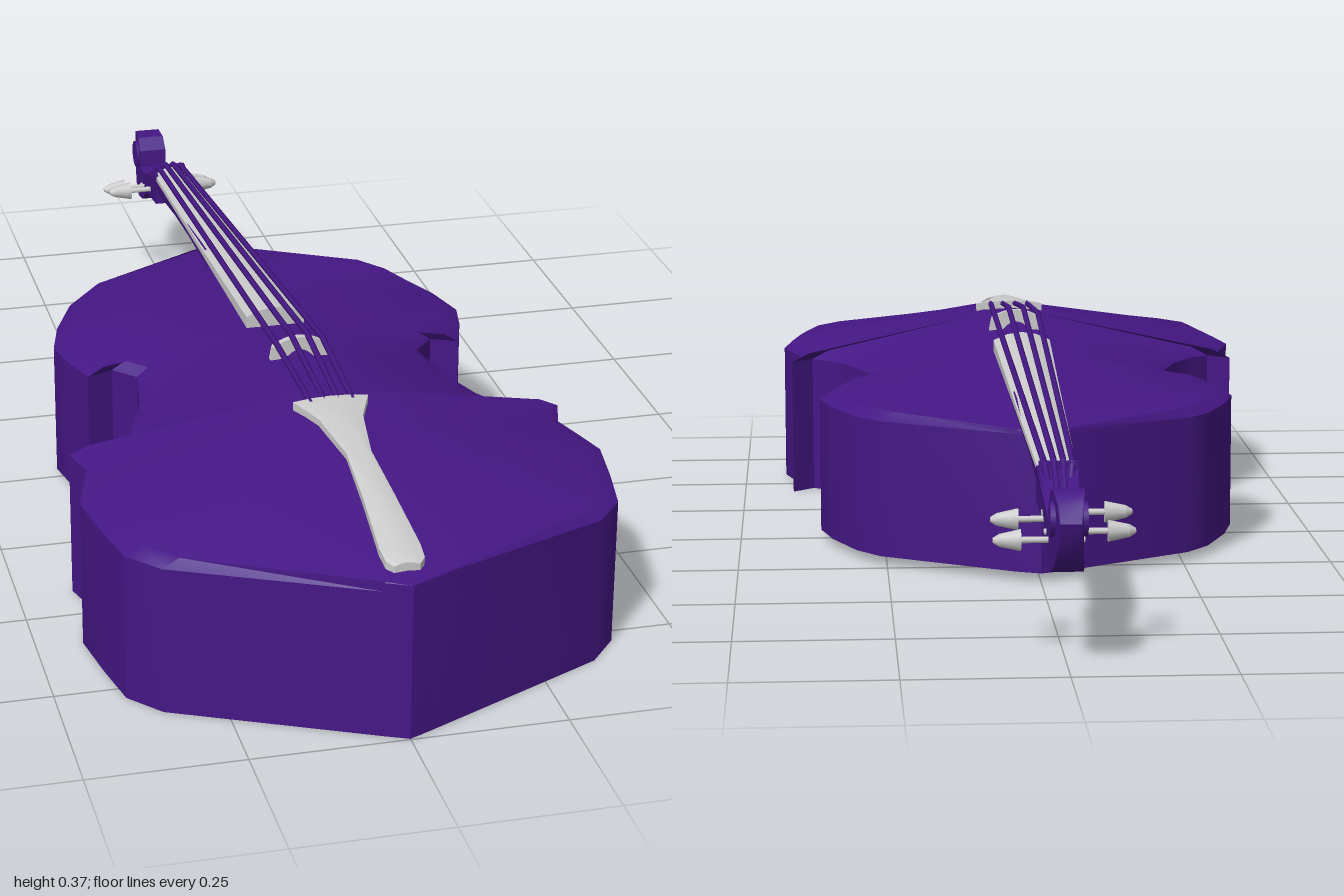
import * as THREE from 'three';
import { toCreasedNormals } from 'three/addons/utils/BufferGeometryUtils.js';

const purple = new THREE.MeshStandardMaterial({ color: 0x451785, side: THREE.DoubleSide });
const grey = new THREE.MeshStandardMaterial({ color: 0xcccccc });

// Piecewise linear lookup in [[key, value], ...]
function lookup(table, k) {
  for (let i = 1; i < table.length; i++) {
    const [k0, v0] = table[i - 1], [k1, v1] = table[i];
    if (k <= k1) return v0 + (v1 - v0) * Math.max(0, (k - k0) / (k1 - k0));
  }
  return table[table.length - 1][1];
}

// Skin over equal-length rings of [x, y, z]; extra(index, n) adds the caps
function skin(rings, extra, crease = 0.6) {
  const n = rings[0].length, index = [];
  for (let j = 0; j < rings.length - 1; j++) {
    for (let i = 0; i < n; i++) {
      const a = j * n + i, b = j * n + (i + 1) % n;
      index.push(a, b, a + n, b, b + n, a + n);
    }
  }
  extra(index, n);
  const geo = new THREE.BufferGeometry();
  geo.setAttribute('position', new THREE.Float32BufferAttribute(rings.flat(2), 3));
  geo.setIndex(index);
  return toCreasedNormals(geo, crease);
}

// Loft along +z; each section is [z, halfWidth, bottom, top], rounded by crown and belly
function loft(sections, crown, belly = 0) {
  const rings = sections.map(([z, w, y0, y1]) => [
    [w, y0 + belly, z], [w, y1 - crown, z], [w * 0.5, y1 - crown * 0.25, z], [0, y1, z],
    [-w * 0.5, y1 - crown * 0.25, z], [-w, y1 - crown, z], [-w, y0 + belly, z],
    [-w * 0.6, y0 + belly * 0.3, z], [0, y0, z], [w * 0.6, y0 + belly * 0.3, z]]);
  return skin(rings, (index, n) => {
    const end = (rings.length - 1) * n;
    for (let i = 1; i < n - 1; i++) index.push(0, i + 1, i, end, end + i, end + i + 1);
  });
}

function part(parent, name, geo, mat) {
  const mesh = new THREE.Mesh(geo, mat);
  mesh.name = name;
  parent.add(mesh);
  return mesh;
}

// Straight rod between two points
function rod(parent, name, a, b, r0, r1, mat, sides = 6) {
  const mesh = part(parent, name, new THREE.CylinderGeometry(r1, r0, a.distanceTo(b), sides), mat);
  mesh.position.copy(a).lerp(b, 0.5);
  mesh.quaternion.setFromUnitVectors(new THREE.Vector3(0, 1, 0), b.clone().sub(a).normalize());
  return mesh;
}

// Waisted sound box with an arched top
function bodyGeometry() {
  const half = [[0, -0.375], [0.04, -0.358], [0.26, -0.225], [0.3, -0.175], [0.34, -0.08], [0.36, 0],
    [0.348, 0.06], [0.325, 0.132], [0.28, 0.112], [0.245, 0.15], [0.26, 0.25], [0.3, 0.365],
    [0.34, 0.43], [0.372, 0.455], [0.41, 0.42], [0.392, 0.48], [0.41, 0.54], [0.425, 0.595],
    [0.41, 0.69], [0.392, 0.78], [0.345, 0.835], [0.04, 0.98], [0, 0.998]];
  const ridge = [[-0.375, 0.252], [-0.2, 0.272], [0, 0.292], [0.14, 0.308], [0.3, 0.328],
    [0.5, 0.334], [0.7, 0.318], [0.998, 0.26]];
  const floor = [[0.14, 0.015], [0.42, 0]];
  let far = -1;
  const spine = half.map(([, z]) => (far = Math.max(far, z)));
  const rows = [
    (x, z, s) => [0, lookup(ridge, s), s],
    (x, z, s) => [Math.min(0.05, x), lookup(ridge, s) - 0.003, s],
    (x, z, s) => [x * 0.92, Math.min(0.262, lookup(ridge, s)), z + (s - z) * 0.1],
    (x, z) => [x, 0.246, z],
    (x, z) => [x, lookup(floor, z), z]];
  const rings = rows.map((f) => {
    const right = half.map(([x, z], i) => f(x, z, spine[i]));
    const left = right.slice(1, -1).reverse().map(([x, y, z]) => [-x, y, z]);
    return [...right, ...left];
  });
  return skin(rings, (index, n) => {
    const flat = rings[4].map(([x, , z]) => new THREE.Vector2(x, z));
    const base = 4 * n;
    for (const [a, b, c] of THREE.ShapeUtils.triangulateShape(flat, [])) {
      const area = flat[b].clone().sub(flat[a]).cross(flat[c].clone().sub(flat[a]));
      index.push(base + a, base + (area > 0 ? b : c), base + (area > 0 ? c : b));
    }
  }, 0.5);
}

// Peg box and scroll: side profile extruded, then tapered in width
function headGeometry() {
  const profile = [[-0.72, 0.262], [-0.75, 0.262], [-0.82, 0.232], [-0.88, 0.21], [-0.903, 0.212], [-0.905, 0.245],
    [-0.925, 0.266], [-0.96, 0.268], [-0.985, 0.254], [-1, 0.228], [-0.99, 0.195], [-0.965, 0.16],
    [-0.93, 0.142], [-0.89, 0.15], [-0.86, 0.175], [-0.8, 0.187], [-0.72, 0.205]];
  const shape = new THREE.Shape(profile.map(([z, y]) => new THREE.Vector2(z, y)));
  const geo = new THREE.ExtrudeGeometry(shape, { depth: 2, bevelEnabled: false });
  geo.translate(0, 0, -1).rotateY(-Math.PI / 2);
  const width = [[-1, 0.016], [-0.96, 0.023], [-0.9, 0.026], [-0.84, 0.022], [-0.74, 0.032]];
  const p = geo.attributes.position;
  for (let i = 0; i < p.count; i++) p.setX(i, p.getX(i) * lookup(width, p.getZ(i)));
  return toCreasedNormals(geo, 0.6);
}

// Thin bridge standing on two feet
function bridgeGeometry() {
  const s = new THREE.Shape();
  s.moveTo(-0.05, 0.318);
  s.lineTo(-0.045, 0.345);
  s.quadraticCurveTo(0, 0.374, 0.045, 0.345);
  s.lineTo(0.05, 0.318);
  s.lineTo(0.028, 0.318);
  s.quadraticCurveTo(0, 0.358, -0.028, 0.318);
  const geo = new THREE.ExtrudeGeometry(s, { depth: 0.012, bevelEnabled: false, curveSegments: 8 });
  return geo.translate(0, 0, 0.289);
}

export function createModel() {
  const model = new THREE.Group();
  model.name = 'stringInstrument';
  part(model, 'body', bodyGeometry(), purple);

  // Neck, fingerboard and head
  part(model, 'neck', loft([[-0.75, 0.03, 0.2, 0.258], [-0.6, 0.031, 0.216, 0.268],
    [-0.4, 0.036, 0.235, 0.287], [-0.25, 0.038, 0.24, 0.3]], 0.002, 0.03), purple);
  part(model, 'fingerboard', loft([[-0.74, 0.03, 0.25, 0.272], [-0.3, 0.04, 0.281, 0.305],
    [0.13, 0.05, 0.308, 0.342]], 0.014), grey);
  part(model, 'nut', new THREE.BoxGeometry(0.06, 0.03, 0.014), purple).position.set(0, 0.258, -0.745);
  part(model, 'head', headGeometry(), purple);
  const ear = part(model, 'scrollEar', new THREE.CylinderGeometry(0.026, 0.026, 0.056, 14), purple);
  ear.rotation.z = Math.PI / 2;
  ear.position.set(0, 0.225, -0.945);

  // Tailpiece and bridge
  part(model, 'tailpiece', loft([[0.505, 0.062, 0.322, 0.346], [0.53, 0.052, 0.322, 0.345],
    [0.57, 0.036, 0.32, 0.343], [0.68, 0.02, 0.312, 0.334], [0.8, 0.025, 0.294, 0.316],
    [0.92, 0.032, 0.268, 0.291], [0.95, 0.03, 0.262, 0.285], [0.962, 0.02, 0.262, 0.281]], 0.005), grey);
  part(model, 'bridge', bridgeGeometry(), grey);

  // Four strings over the bridge and nut, each with its peg
  const pegZ = [-0.8, -0.82, -0.885, -0.86];
  const order = [0, 3, 2, 1];
  for (let i = 0; i < 4; i++) {
    const t = (i - 1.5) / 1.5, arch = 0.012 * t * t;
    const k = order[i], z = pegZ[k], pegY = 0.205 + (z + 0.8) * 0.28;
    const path = [[t * 0.034, 0.34, 0.515], [t * 0.04, 0.365 - arch, 0.295],
      [t * 0.022, 0.276 - arch * 0.3, -0.745], [t * 0.012, pegY + 0.012, z]]
      .map((q) => new THREE.Vector3(...q));
    for (let j = 0; j < 3; j++) rod(model, 'string', path[j], path[j + 1], 0.005, 0.005, purple);

    const side = k === 0 || k === 3 ? -1 : 1;
    const at = (x) => new THREE.Vector3(side * x, pegY, z);
    rod(model, 'pegShaft', at(-0.03), at(0.07), 0.005, 0.005, grey, 8);
    const knob = rod(model, 'pegHead', at(0.066), at(0.098), 0.017, 0.01, grey, 10);
    knob.scale.z = 0.75;
    rod(model, 'pegTip', at(0.098), at(0.108), 0.01, 0.004, grey, 10);
  }
  return model;
}
